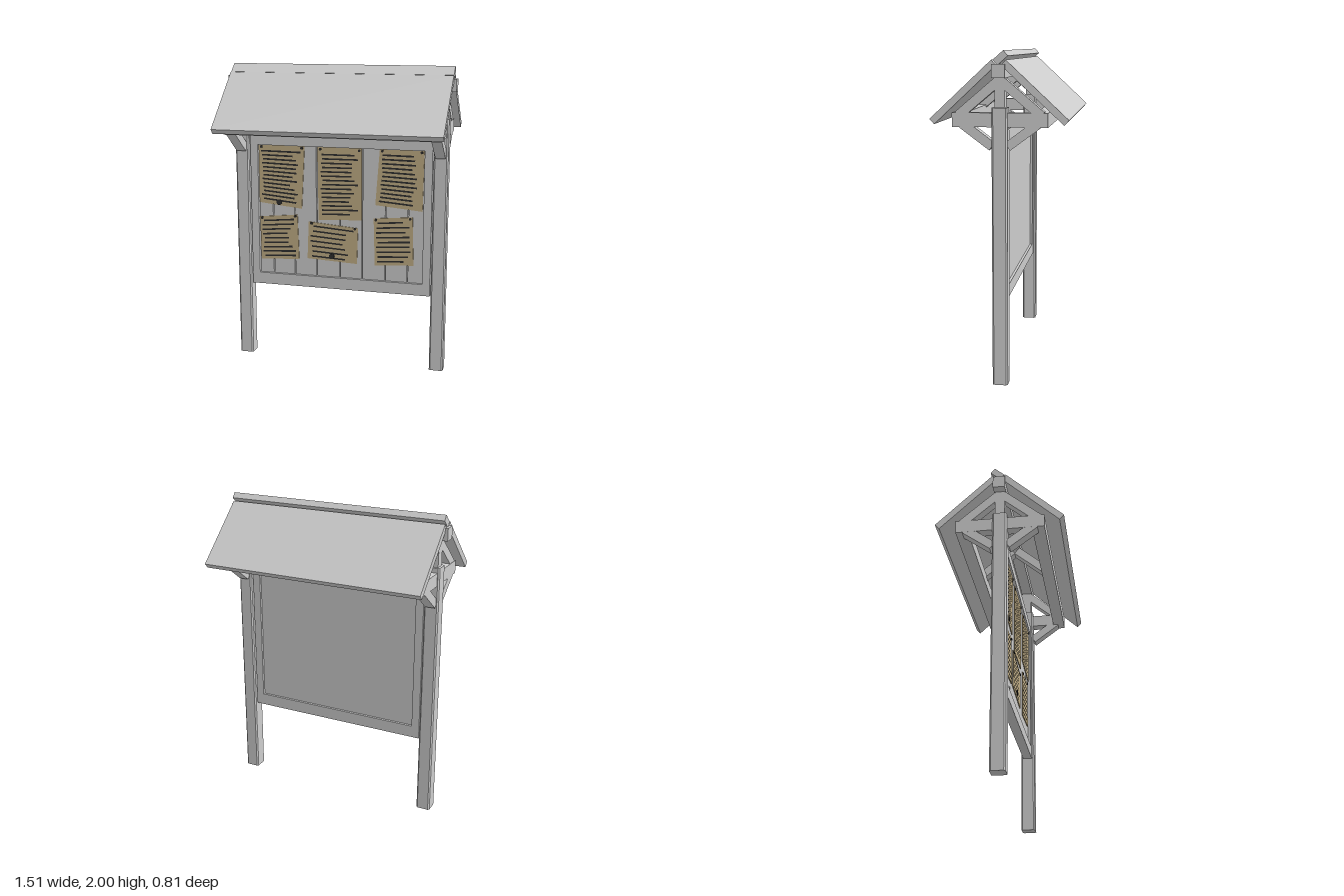
import * as THREE from 'three';

export function createModel() {
  const root = new THREE.Group();
  root.name = 'noticeBoard';
  const mat = (name, color) => {
    const m = new THREE.MeshStandardMaterial({ color });
    m.name = name;
    return m;
  };
  const wood = mat('greyWood', 0xcccccc);
  const paper = mat('tanPaper', 0xbfac84);
  const ink = mat('darkInk', 0x2e2e2e);

  const add = (name, geo, material, parent = root) => {
    const m = new THREE.Mesh(geo, material);
    m.name = name;
    parent.add(m);
    return m;
  };
  // Box given by its limits on each axis
  const box = (name, x0, x1, y0, y1, z0, z1) => {
    const m = add(name, new THREE.BoxGeometry(x1 - x0, y1 - y0, z1 - z0), wood);
    m.position.set((x0 + x1) / 2, (y0 + y1) / 2, (z0 + z1) / 2);
    return m;
  };
  // Sloping board whose centre line runs from (z, y) to (z, y)
  const sloped = (name, x, width, thick, [za, ya], [zb, yb]) => {
    const dz = zb - za, dy = yb - ya;
    const m = add(name, new THREE.BoxGeometry(width, thick, Math.hypot(dz, dy)), wood);
    m.position.set(x, (ya + yb) / 2, (za + zb) / 2);
    m.rotation.x = -Math.atan2(dy, dz);
    return m;
  };

  // Chamfered posts
  const h = 0.046, c = 0.009;
  const section = new THREE.Shape([
    [-h + c, -h], [h - c, -h], [h, -h + c], [h, h - c],
    [h - c, h], [-h + c, h], [-h, h - c], [-h, -h + c],
  ].map(([x, y]) => new THREE.Vector2(x, y)));
  const postGeo = new THREE.ExtrudeGeometry(section, { depth: 1.675, bevelEnabled: false });
  postGeo.rotateX(-Math.PI / 2);

  // Roof supports at both ends
  for (const s of [1, -1]) {
    const x = s * 0.668;
    add('post', postGeo, wood).position.x = x;
    box('crossBeam', x - 0.033, x + 0.033, 1.562, 1.645, -0.28, 0.28);
    box('kingPost', x - 0.03, x + 0.03, 1.645, 1.85, -0.03, 0.03);
    for (const f of [1, -1]) {
      sloped('lowerBrace', x, 0.065, 0.055, [f * 0.045, 1.45], [f * 0.22, 1.58]);
      sloped('rafter', x, 0.06, 0.055, [f * 0.243, 1.629], [f * 0.015, 1.822]);
    }
  }
  box('ridgeBeam', -0.753, 0.753, 1.845, 1.924, -0.038, 0.038);

  // Roof, eave beams and middle rafters on both slopes
  for (const f of [1, -1]) {
    box('eaveBeam', -0.7, 0.7, 1.562, 1.645, f * 0.24 - 0.04, f * 0.24 + 0.04);
    sloped('middleRafter', 0, 0.06, 0.055, [f * 0.243, 1.629], [f * 0.015, 1.822]);
    sloped('roofPanel', 0, 1.47, 0.041, [f * 0.391, 1.594], [f * 0.028, 1.932]);
  }
  sloped('ridgeCap', 0, 1.47, 0.041, [0.019, 1.932], [-0.041, 1.985]);

  // Board frame with a recessed panel
  const rect = (P, w, y0, y1) => {
    const p = new P();
    p.moveTo(-w, y0); p.lineTo(w, y0); p.lineTo(w, y1); p.lineTo(-w, y1); p.closePath();
    return p;
  };
  const frame = rect(THREE.Shape, 0.615, 0.507, 1.54);
  frame.holes.push(rect(THREE.Path, 0.563, 0.585, 1.468));
  add('boardFrame', new THREE.ExtrudeGeometry(frame, { depth: 0.06, bevelEnabled: false }), wood)
    .position.z = -0.03;
  for (const s of [1, -1]) box('frameTenon', s * 0.62 - 0.006, s * 0.62 + 0.006, 1.468, 1.54, -0.02, 0.02);
  box('backPanel', -0.563, 0.563, 0.585, 1.468, -0.014, -0.004);
  const seams = [-0.563, -0.465, -0.315, -0.16, 0, 0.152, 0.31, 0.46, 0.563];
  for (let i = 0; i < 8; i++) {
    box('plank', seams[i] + 0.003, seams[i + 1] - 0.003, 0.585, 1.468, -0.004, 0.01);
  }

  // Notices: corners clockwise from top left, line count, optional seal position
  const notices = [
    { q: [[-0.56, 1.467], [-0.24, 1.467], [-0.262, 1.045], [-0.56, 1.076]], n: 13, seal: [-0.42, 1.082] },
    { q: [[-0.15, 1.467], [0.15, 1.467], [0.15, 0.99], [-0.146, 0.976]], n: 15 },
    { q: [[0.268, 1.467], [0.56, 1.467], [0.554, 1.071], [0.241, 1.098]], n: 12 },
    { q: [[-0.56, 0.976], [-0.294, 1.002], [-0.284, 0.695], [-0.554, 0.679]], n: 9 },
    { q: [[-0.215, 0.96], [0.125, 0.933], [0.119, 0.689], [-0.225, 0.705]], n: 7, seal: [-0.055, 0.73] },
    { q: [[0.231, 1.007], [0.49, 1.029], [0.501, 0.705], [0.241, 0.689]], n: 9 },
  ];
  let seed = 7;
  const rand = () => (seed = (seed * 16807) % 2147483647) / 2147483647;
  const pinGeo = new THREE.CylinderGeometry(0.009, 0.009, 0.006, 10).rotateX(Math.PI / 2);
  const sealGeo = new THREE.CylinderGeometry(0.019, 0.019, 0.006, 14).rotateX(Math.PI / 2);

  for (const { q, n, seal } of notices) {
    const group = new THREE.Group();
    group.name = 'notice';
    root.add(group);
    // Point on the sheet: u runs rightward, v downward
    const at = (u, v) => [0, 1].map(k =>
      (q[0][k] * (1 - u) + q[1][k] * u) * (1 - v) + (q[3][k] * (1 - u) + q[2][k] * u) * v);
    const outline = new THREE.Shape(q.map(p => new THREE.Vector2(...p)));
    add('sheet', new THREE.ExtrudeGeometry(outline, { depth: 0.006, bevelEnabled: false }), paper, group)
      .position.z = 0.012;

    // Rows of ink strokes
    const pos = [];
    const vs = 0.016 / (q[0][1] - q[3][1]);
    for (let i = 0; i < n; i++) {
      const v = 0.1 + 0.82 * i / (n - 1), dv = vs * 0.34;
      const u0 = 0.05 + 0.06 * rand(), u1 = 0.7 + 0.24 * rand();
      const a = at(u0, v + dv), b = at(u1, v + dv), d = at(u1, v - dv), e = at(u0, v - dv);
      for (const p of [a, b, d, a, d, e]) pos.push(p[0], p[1], 0.0195);
    }
    const strokes = new THREE.BufferGeometry();
    strokes.setAttribute('position', new THREE.Float32BufferAttribute(pos, 3));
    strokes.computeVertexNormals();
    add('inkLines', strokes, ink, group);

    // Corner pins and seal
    for (const u of [0.06, 0.94]) {
      const p = at(u, 0.03);
      add('pin', pinGeo, ink, group).position.set(p[0], p[1], 0.02);
    }
    if (seal) add('seal', sealGeo, ink, group).position.set(seal[0], seal[1], 0.02);
  }
  return root;
}
